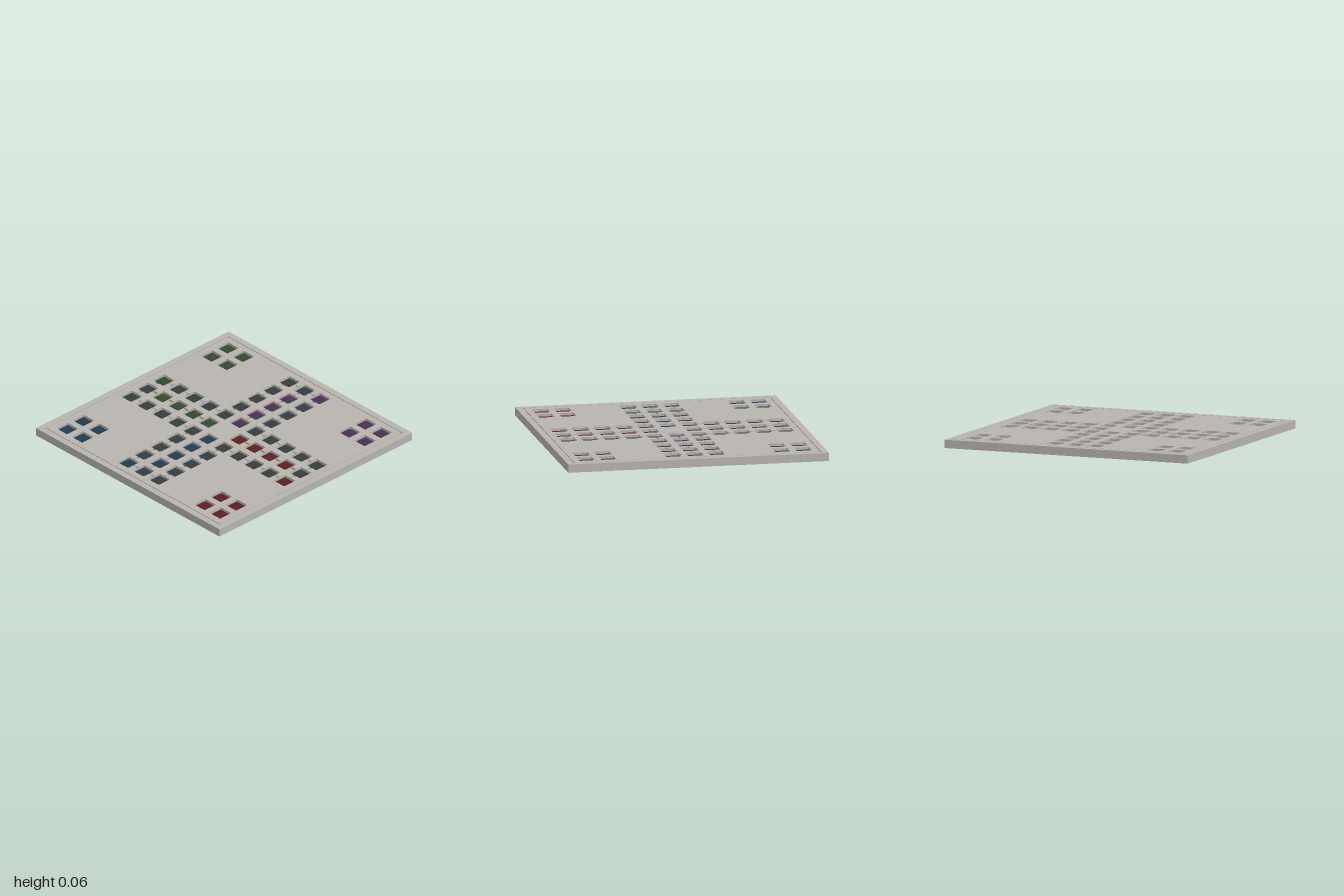
import * as THREE from 'three';

const PITCH = 1 / 6, HALF = 0.058, TOP = 0.063, FLOOR = 0.043;

const paint = (name, color) => {
  const m = new THREE.MeshStandardMaterial({ color });
  m.name = name;
  return m;
};

// quarter turns, clockwise as seen from above (shape y points to the back)
const turn = ([x, y], n) => {
  for (let i = 0; i < n; i++) [x, y] = [y, -x];
  return [x, y];
};
const polygon = (pts) => pts.map(([x, y]) => new THREE.Vector2(x, y));

// rounded square outline of one field
function tileOutline(cx, cy) {
  const s = new THREE.Shape(), r = 0.01, a = HALF - r;
  s.absarc(cx + a, cy + a, r, 0, Math.PI / 2);
  s.absarc(cx - a, cy + a, r, Math.PI / 2, Math.PI);
  s.absarc(cx - a, cy - a, r, Math.PI, Math.PI * 1.5);
  s.absarc(cx + a, cy - a, r, Math.PI * 1.5, Math.PI * 2);
  s.closePath();
  return s.getPoints(3).slice(0, -1);
}

// groove between two neighbouring fields: pinched, or a straight bar
function linkOutline([ax, ay], [bx, by], straight) {
  const l = PITCH / 2 - HALF - 0.0006;
  const pts = straight
    ? [[-l, -0.009], [l, -0.009], [l, 0.009], [-l, 0.009]]
    : [[-l, -0.016], [-0.006, -0.003], [0.006, -0.003], [l, -0.016],
      [l, 0.016], [0.006, 0.003], [-0.006, 0.003], [-l, 0.016]];
  const mx = (ax + bx) / 2 * PITCH, my = (ay + by) / 2 * PITCH;
  const dx = bx - ax, dy = by - ay;
  return polygon(pts.map(([u, v]) => [mx + u * dx - v * dy, my + u * dy + v * dx]));
}

// square outline whose corners are pulled in or out along the diagonal
function corneredSquare(h, tip) {
  const pts = [];
  for (let n = 0; n < 4; n++) {
    for (const p of [[h - 0.009, h], [h + tip, h + tip], [h, h - 0.009]]) pts.push(turn(p, n));
  }
  return polygon(pts);
}

export function createModel() {
  const board = new THREE.Group();
  board.name = 'gameBoard';
  const stone = paint('stone grey', 0xb7b3af);
  const slate = paint('slate', 0x353c3d);
  const teams = [
    ['green', paint('green', 0x36482e)],
    ['purple', paint('purple', 0x492f51)],
    ['red', paint('red', 0x5c2022)],
    ['blue', paint('blue', 0x213c4e)],
  ];

  const add = (geometry, material, name, y) => {
    const mesh = new THREE.Mesh(geometry, material);
    mesh.name = name;
    mesh.position.y = y;
    board.add(mesh);
  };
  const slab = (shape, name) => add(
    new THREE.ExtrudeGeometry(shape, { depth: TOP - FLOOR, bevelEnabled: false }).rotateX(-Math.PI / 2),
    stone, name, FLOOR);
  const floor = (shapes, material, name) => add(
    new THREE.ShapeGeometry(shapes).rotateX(-Math.PI / 2), material, name, FLOOR + 0.0006);

  // recessed fields and the grooves that join them, one arm per team
  const holes = [], slateFloors = [];
  const sink = (outline, list) => {
    holes.push(new THREE.Path(outline));
    list.push(new THREE.Shape(outline));
  };
  const track = [[-1, 1], [-1, 2], [-1, 3], [-1, 4], [-1, 5], [0, 5], [1, 5], [1, 4], [1, 3], [1, 2], [1, 1]];
  const yard = [[4, 4], [5, 4], [4, 5], [5, 5]];
  const lane = [[0, 1], [0, 2], [0, 3], [0, 4], [0, 5]];

  teams.forEach(([name, material], n) => {
    const teamFloors = [];
    const field = (p, list) => {
      const [x, y] = turn(p, n);
      sink(tileOutline(x * PITCH, y * PITCH), list);
    };
    track.slice(0, -1).forEach((p, i) => {
      field(p, i === 6 ? teamFloors : slateFloors);
      sink(linkOutline(turn(p, n), turn(track[i + 1], n), false), slateFloors);
    });
    lane.slice(0, -1).forEach((p, i) => {
      field(p, teamFloors);
      sink(linkOutline(turn(p, n), turn(lane[i + 1], n), true), slateFloors);
    });
    yard.forEach((p) => field(p, teamFloors));
    floor(teamFloors, material, name + 'Fields');
  });
  floor(slateFloors, slate, 'trackFields');

  // solid base
  add(new THREE.BoxGeometry(2, FLOOR, 2), stone, 'base', FLOOR / 2);

  // pierced top slab inside the border groove
  const inner = corneredSquare(0.943, -0.013);
  const topShape = new THREE.Shape(inner);
  topShape.holes = holes;
  slab(topShape, 'topSlab');

  // outer rim, with the border groove left between it and the slab
  const outer = corneredSquare(0.949, 0.009);
  const rim = new THREE.Shape(polygon([[-1, -1], [1, -1], [1, 1], [-1, 1]]));
  rim.holes.push(new THREE.Path(outer));
  slab(rim, 'rim');
  const groove = new THREE.Shape(outer);
  groove.holes.push(new THREE.Path(inner));
  floor(groove, slate, 'borderGroove');

  return board;
}
